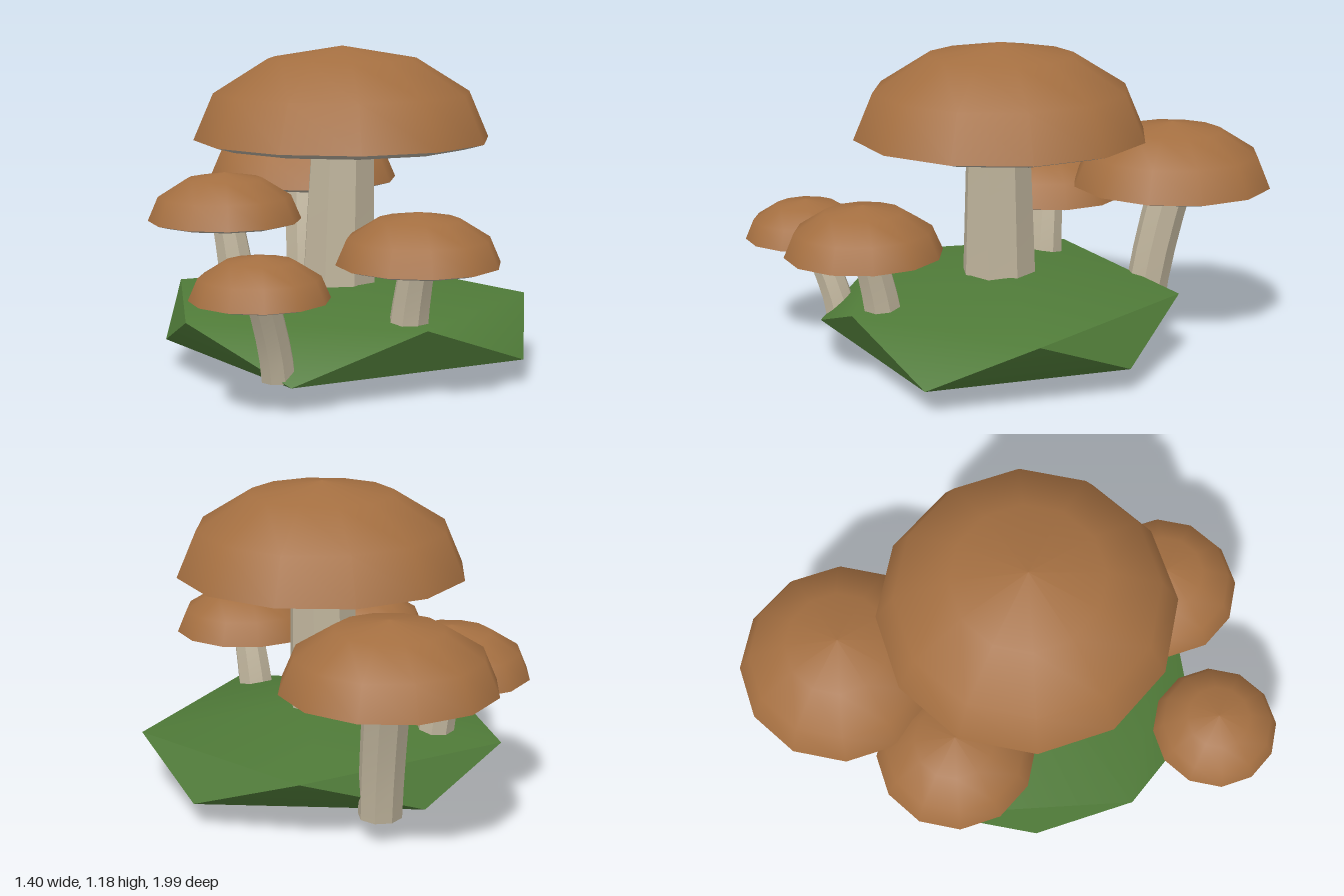
import * as THREE from 'three';
import { toCreasedNormals } from 'three/addons/utils/BufferGeometryUtils.js';

const material = (name, color) => {
  const m = new THREE.MeshStandardMaterial({ color });
  m.name = name;
  return m;
};

// Quarter-ellipse profile in 30 degree steps, bottom to top, turned into a 12-sided bowl or dome
function bowl(radius, height) {
  const points = [];
  for (let i = 0; i <= 3; i++) {
    const a = (i * Math.PI) / 6;
    const r = i === 3 ? 0 : radius * Math.cos(a);
    points.push(new THREE.Vector2(r, height * Math.sin(a)));
  }
  if (height < 0) points.reverse();
  return new THREE.LatheGeometry(points, 12);
}

// Eight-sided stem that tapers and bends from its foot to its top
function stemGeometry(foot, top, footRadius, topRadius) {
  const height = top[1] - foot[1];
  const geo = new THREE.CylinderGeometry(topRadius, footRadius, height, 8, 4);
  geo.rotateY(0.3);
  const p = geo.attributes.position;
  for (let i = 0; i < p.count; i++) {
    const t = THREE.MathUtils.clamp(p.getY(i) / height + 0.5, 0, 1);
    const bend = Math.pow(t, 1.4);
    p.setXYZ(
      i,
      p.getX(i) + foot[0] + (top[0] - foot[0]) * bend,
      foot[1] + t * height,
      p.getZ(i) + foot[2] + (top[2] - foot[2]) * bend
    );
  }
  return toCreasedNormals(geo, 0.5);
}

// Squashed twenty-sided mound: two staggered five-point rings between two tips
function moundGeometry() {
  const upper = [[0.7, 0.25, 0.08], [0.23, 0.25, 0.66], [-0.58, 0.25, 0.44], [-0.58, 0.25, -0.32], [0.23, 0.25, -0.56]];
  const lower = [[0.61, 0.09, 0.46], [-0.24, 0.085, 0.73], [-0.645, 0.105, 0.07], [-0.24, 0.09, -0.5], [0.56, 0.095, -0.28]];
  const crown = [0, 0.338, 0.06], keel = [0, 0, 0.075];
  const v = [];
  for (let i = 0; i < 5; i++) {
    const j = (i + 1) % 5;
    v.push(...crown, ...upper[j], ...upper[i]);
    v.push(...upper[i], ...upper[j], ...lower[i]);
    v.push(...upper[j], ...lower[j], ...lower[i]);
    v.push(...keel, ...lower[i], ...lower[j]);
  }
  const geo = new THREE.BufferGeometry();
  geo.setAttribute('position', new THREE.Float32BufferAttribute(v, 3));
  return toCreasedNormals(geo, 0.8);
}

export function createModel() {
  const capBrown = material('cap brown', 0xa46f41);
  const gillGrey = material('gill grey', 0xb4ab9c);
  const stemBeige = material('stem beige', 0xbfb49c);
  const grassGreen = material('grass green', 0x4f7a38);

  const model = new THREE.Group();
  model.name = 'mushroomCluster';

  const add = (parent, name, geometry, mat) => {
    const mesh = new THREE.Mesh(geometry, mat);
    mesh.name = name;
    parent.add(mesh);
    return mesh;
  };

  add(model, 'grassMound', moundGeometry(), grassGreen);

  // cap: centre of the rim; foot: base of the stem; top: where the stem meets the cap
  const mushrooms = [
    { name: 'largeMushroom', cap: [0.01, 0.843, 0.07], r: 0.545, foot: [-0.005, 0.2, 0.075], top: [0.01, 0.82, 0.08], r0: 0.145, r1: 0.122 },
    { name: 'backMushroom', cap: [-0.07, 0.605, -0.615], r: 0.383, foot: [-0.07, 0.09, -0.515], top: [-0.065, 0.6, -0.615], r0: 0.08, r1: 0.085 },
    { name: 'sideMushroom', cap: [-0.41, 0.502, -0.217], r: 0.295, foot: [-0.36, 0.2, -0.18], top: [-0.4, 0.495, -0.205], r0: 0.075, r1: 0.063 },
    { name: 'frontMushroom', cap: [0.205, 0.474, 0.608], r: 0.284, foot: [0.18, 0.18, 0.535], top: [0.205, 0.465, 0.59], r0: 0.073, r1: 0.063 },
    { name: 'smallMushroom', cap: [-0.345, 0.398, 0.763], r: 0.234, foot: [-0.275, 0.09, 0.645], top: [-0.335, 0.39, 0.742], r0: 0.061, r1: 0.058 },
  ];

  for (const m of mushrooms) {
    const group = new THREE.Group();
    group.name = m.name;
    add(group, 'stem', stemGeometry(m.foot, m.top, m.r0, m.r1), stemBeige);
    add(group, 'capDome', bowl(m.r, m.r * 0.622), capBrown).position.set(...m.cap);
    add(group, 'capUnderside', bowl(m.r, m.r * -0.075), gillGrey).position.set(...m.cap);
    model.add(group);
  }
  return model;
}
